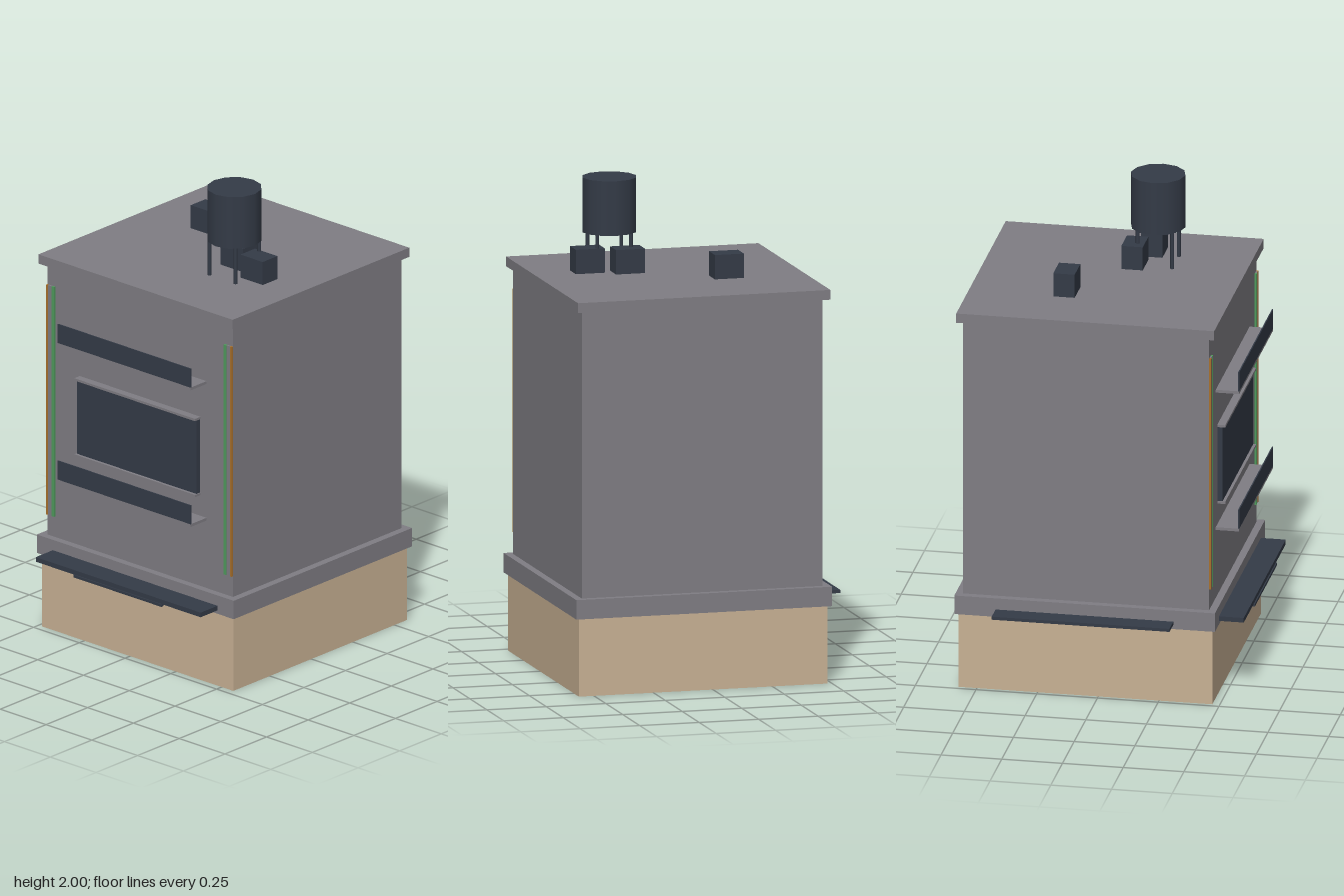
import * as THREE from 'three';

const mat = (name, color, side = THREE.FrontSide) => {
  const m = new THREE.MeshStandardMaterial({ color, side });
  m.name = name;
  return m;
};

export function createModel() {
  const grey = mat('grey metal', 0x7f7d83);
  const dark = mat('dark slate', 0x343b47);
  const tan = mat('tan plinth', 0xc8b194, THREE.DoubleSide);
  const green = mat('green trim', 0x4f9a5c);
  const orange = mat('orange trim', 0xa8702c);

  const model = new THREE.Group();
  model.name = 'cabinet';

  // Box given by its limits on each axis
  const box = (name, material, [x0, x1], [y0, y1], [z0, z1]) => {
    const mesh = new THREE.Mesh(new THREE.BoxGeometry(x1 - x0, y1 - y0, z1 - z0), material);
    mesh.position.set((x0 + x1) / 2, (y0 + y1) / 2, (z0 + z1) / 2);
    mesh.name = name;
    model.add(mesh);
    return mesh;
  };

  // Hollow plinth: four thin walls, open underneath
  const plinth = new THREE.Group();
  plinth.name = 'plinth';
  for (let i = 0; i < 4; i++) {
    const wall = new THREE.Mesh(new THREE.PlaneGeometry(1.045, 0.32).translate(0, 0.16, 0.5225), tan);
    wall.rotation.y = i * Math.PI / 2;
    wall.name = 'plinthWall';
    plinth.add(wall);
  }
  plinth.position.set(0.041, 0, -0.053);
  model.add(plinth);

  // Main housing
  box('baseFlange', grey, [-0.497, 0.578], [0.32, 0.4], [-0.59, 0.483]);
  box('body', grey, [-0.466, 0.547], [0.4, 1.58], [-0.56, 0.453]);
  box('roof', grey, [-0.492, 0.569], [1.58, 1.62], [-0.583, 0.479]);

  // Front ledges: grey shelf with an upright dark plate at its edge
  for (const y of [0.7, 1.295]) {
    box('ledge', grey, [-0.323, 0.403], [y - 0.006, y + 0.006], [0.453, 0.549]);
    box('ledgePlate', dark, [-0.323, 0.403], [y + 0.006, y + 0.088], [0.545, 0.55]);
  }

  // Window with a thin rim above and below
  box('window', dark, [-0.286, 0.366], [0.805, 1.128], [0.453, 0.474]);
  for (const y of [0.801, 1.132]) {
    box('windowRim', grey, [-0.29, 0.37], [y - 0.005, y + 0.005], [0.453, 0.486]);
  }

  // Vertical trim strips, mirrored about the middle of the body
  const mid = 0.0405;
  for (const s of [-1, 1]) {
    const strip = (name, m, a, b, depth) => {
      const xs = [mid + s * a, mid + s * b].sort((p, q) => p - q);
      box(name, m, xs, [0.49, 1.49], [0.453, 0.453 + depth]);
    };
    strip('greenStrip', green, 0.464, 0.477, 0.009);
    strip('middleStrip', grey, 0.477, 0.497, 0.007);
    strip('orangeStrip', orange, 0.497, 0.507, 0.009);
  }

  // Low trays
  box('frontTray', dark, [-0.41, 0.49], [0.335, 0.355], [0.483, 0.585]);
  box('frontTrayLip', dark, [-0.2, 0.28], [0.325, 0.336], [0.576, 0.59]);
  box('sideTray', dark, [-0.58, -0.497], [0.339, 0.352], [-0.42, 0.312]);

  // Roof blocks
  for (const [x, z] of [[-0.167, -0.19], [0.188, 0.022], [0.343, 0.073]]) {
    box('roofBlock', dark, [x - 0.061, x + 0.061], [1.62, 1.72], [z - 0.044, z + 0.044]);
  }

  // Tank on four legs
  const tank = new THREE.Group();
  tank.name = 'tank';
  tank.position.set(0.241, 0, 0.108);
  const drum = new THREE.Mesh(new THREE.CylinderGeometry(0.112, 0.112, 0.225, 12), dark);
  drum.position.y = 1.8875;
  drum.name = 'drum';
  tank.add(drum);
  for (const sx of [-1, 1]) for (const sz of [-1, 1]) {
    const leg = new THREE.Mesh(new THREE.CylinderGeometry(0.008, 0.008, 0.16, 8), dark);
    leg.position.set(sx * 0.071, 1.698, sz * 0.071);
    leg.name = 'tankLeg';
    tank.add(leg);
  }
  model.add(tank);

  return model;
}
